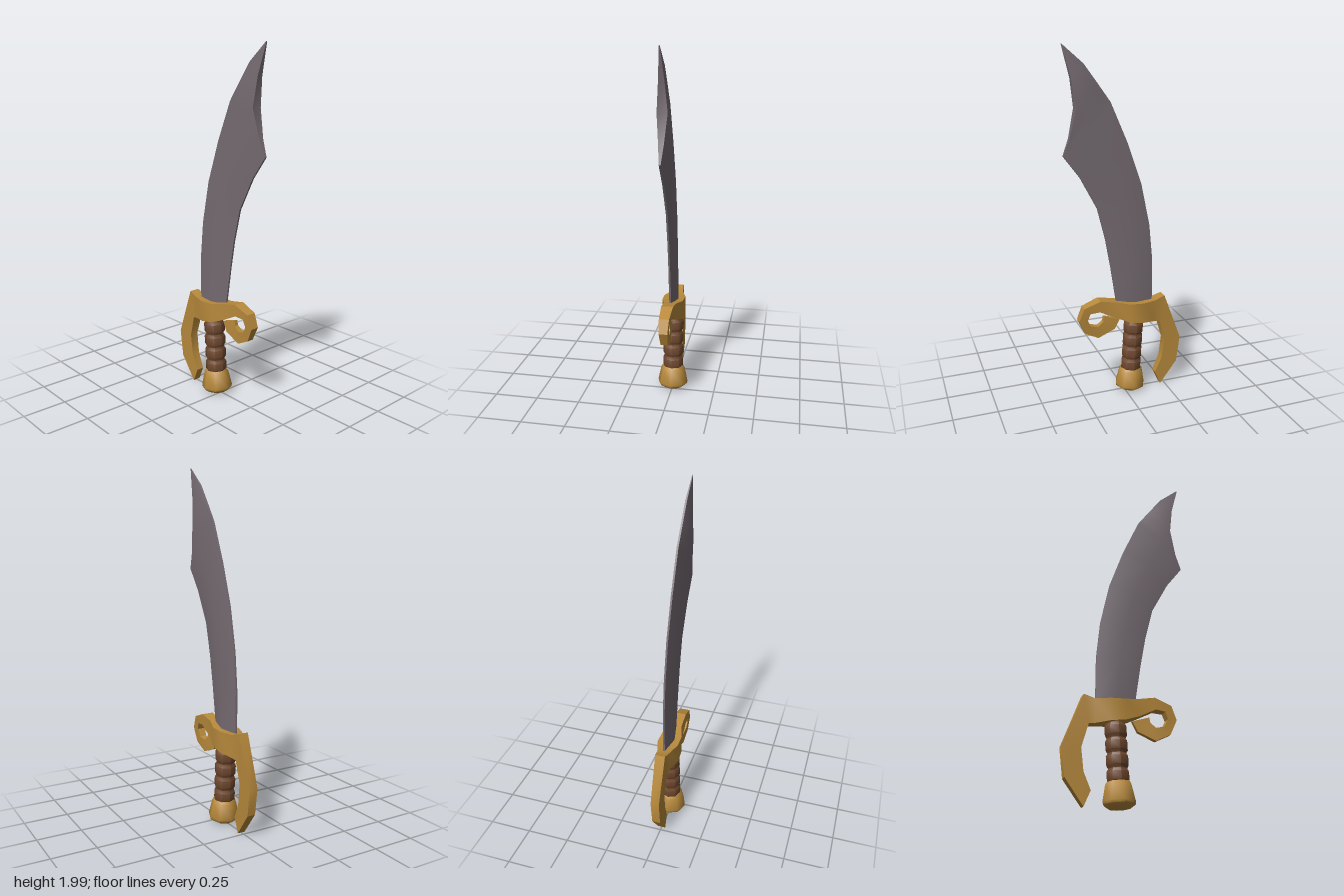
import * as THREE from 'three';
import { toCreasedNormals } from 'three/addons/utils/BufferGeometryUtils.js';

// Skin a list of rings (each counter-clockwise seen from the far end) and cap both ends.
function loft(rings, crease) {
  const n = rings[0].length, index = [];
  for (let i = 0; i < rings.length - 1; i++) {
    for (let j = 0; j < n; j++) {
      const k = (j + 1) % n, a = i * n + j, b = i * n + k;
      index.push(a, b, b + n, a, b + n, a + n);
    }
  }
  const last = (rings.length - 1) * n;
  for (let j = 1; j < n - 1; j++) {
    index.push(0, j + 1, j, last, last + j, last + j + 1);
  }
  const geo = new THREE.BufferGeometry();
  geo.setAttribute('position', new THREE.Float32BufferAttribute(rings.flat(2), 3));
  geo.setIndex(index);
  return toCreasedNormals(geo.toNonIndexed(), crease);
}

// Eight-sided turned part from [radius, height] pairs.
function turned(profile) {
  const points = profile.map(([r, y]) => new THREE.Vector2(r, y));
  return toCreasedNormals(new THREE.LatheGeometry(points, 8), 0.9);
}

export function createModel() {
  const steel = new THREE.MeshStandardMaterial({ color: 0x766c72 });
  steel.name = 'grey steel';
  const gold = new THREE.MeshStandardMaterial({ color: 0xb88a3c });
  gold.name = 'gold';
  const leather = new THREE.MeshStandardMaterial({ color: 0x70492f });
  leather.name = 'brown leather';

  const model = new THREE.Group();
  model.name = 'curvedSword';
  const add = (name, geometry, material, parent = model) => {
    const mesh = new THREE.Mesh(geometry, material);
    mesh.name = name;
    parent.add(mesh);
    return mesh;
  };

  // Blade: spine x, y, cutting edge x, y, ridge half thickness, cutting edge half thickness
  const blade = [
    [-0.17, 0.53, 0.042, 0.53, 0.028, 0.005],
    [-0.17, 0.80, 0.08, 0.78, 0.028, 0.005],
    [-0.15, 1.01, 0.11, 0.95, 0.028, 0.005],
    [-0.10, 1.25, 0.155, 1.13, 0.028, 0.005],
    [-0.02, 1.48, 0.25, 1.31, 0.028, 0.005],
    [0.075, 1.70, 0.34, 1.43, 0.028, 0.005],
    [0.105, 1.742, 0.305, 1.52, 0.028, 0.014],
    [0.15, 1.805, 0.27, 1.675, 0.026, 0.028],
    [0.22, 1.90, 0.29, 1.83, 0.016, 0.016],
    [0.332, 1.998, 0.335, 1.998, 0.002, 0.002],
  ];
  add('blade', loft(blade.map(([sx, sy, ex, ey, t, e]) => {
    const mx = (sx + ex) / 2, my = (sy + ey) / 2, s = Math.min(0.005, t);
    return [[sx, sy, -s], [sx, sy, s], [mx, my, t], [ex, ey, e], [ex, ey, -e], [mx, my, -t]];
  }), 0.5), steel);

  // Guard: knuckle bow, crosspiece and curl as outer x, y, inner x, y, half thickness
  const guard = [
    [-0.225, 0.01, -0.19, 0.09, 0.022],
    [-0.325, 0.145, -0.23, 0.18, 0.024],
    [-0.345, 0.30, -0.245, 0.30, 0.025],
    [-0.24, 0.58, -0.21, 0.425, 0.029],
    [-0.18, 0.56, -0.17, 0.43, 0.035],
    [-0.10, 0.563, -0.10, 0.443, 0.062],
    [-0.02, 0.567, -0.02, 0.455, 0.06],
    [0.05, 0.58, 0.06, 0.487, 0.036],
    [0.15, 0.60, 0.155, 0.535, 0.033],
    [0.245, 0.565, 0.21, 0.53, 0.028],
    [0.275, 0.49, 0.225, 0.49, 0.024],
    [0.24, 0.41, 0.205, 0.45, 0.02],
    [0.16, 0.37, 0.16, 0.44, 0.016],
    [0.06, 0.41, 0.13, 0.465, 0.012],
    [0.03, 0.465, 0.125, 0.495, 0.01],
  ];
  add('guard', loft(guard.map(([ox, oy, ix, iy, t]) =>
    [[ox, oy, -t], [ox, oy, t], [ix, iy, t], [ix, iy, -t]]), 0.5), gold);

  // Hilt leans slightly towards the knuckle bow
  const hilt = new THREE.Group();
  hilt.name = 'hilt';
  hilt.position.set(-0.034, 0.014, 0);
  hilt.rotation.z = 0.06;
  model.add(hilt);

  // Grip: four wrapped bulges separated by grooves
  const grip = [];
  for (let i = 0; i < 4; i++) {
    const y = 0.12 + i * 0.078;
    grip.push([0.05, y], [0.06, y + 0.016], [0.06, y + 0.06], [0.05, y + 0.076]);
  }
  grip.push([0.05, 0.46]);
  add('grip', turned(grip), leather, hilt);

  // Pommel: flared cap with a bevelled foot
  add('pommel', turned([
    [0, 0], [0.055, 0], [0.085, 0.02], [0.088, 0.035],
    [0.07, 0.118], [0.06, 0.132], [0, 0.132],
  ]), gold, hilt);

  return model;
}
